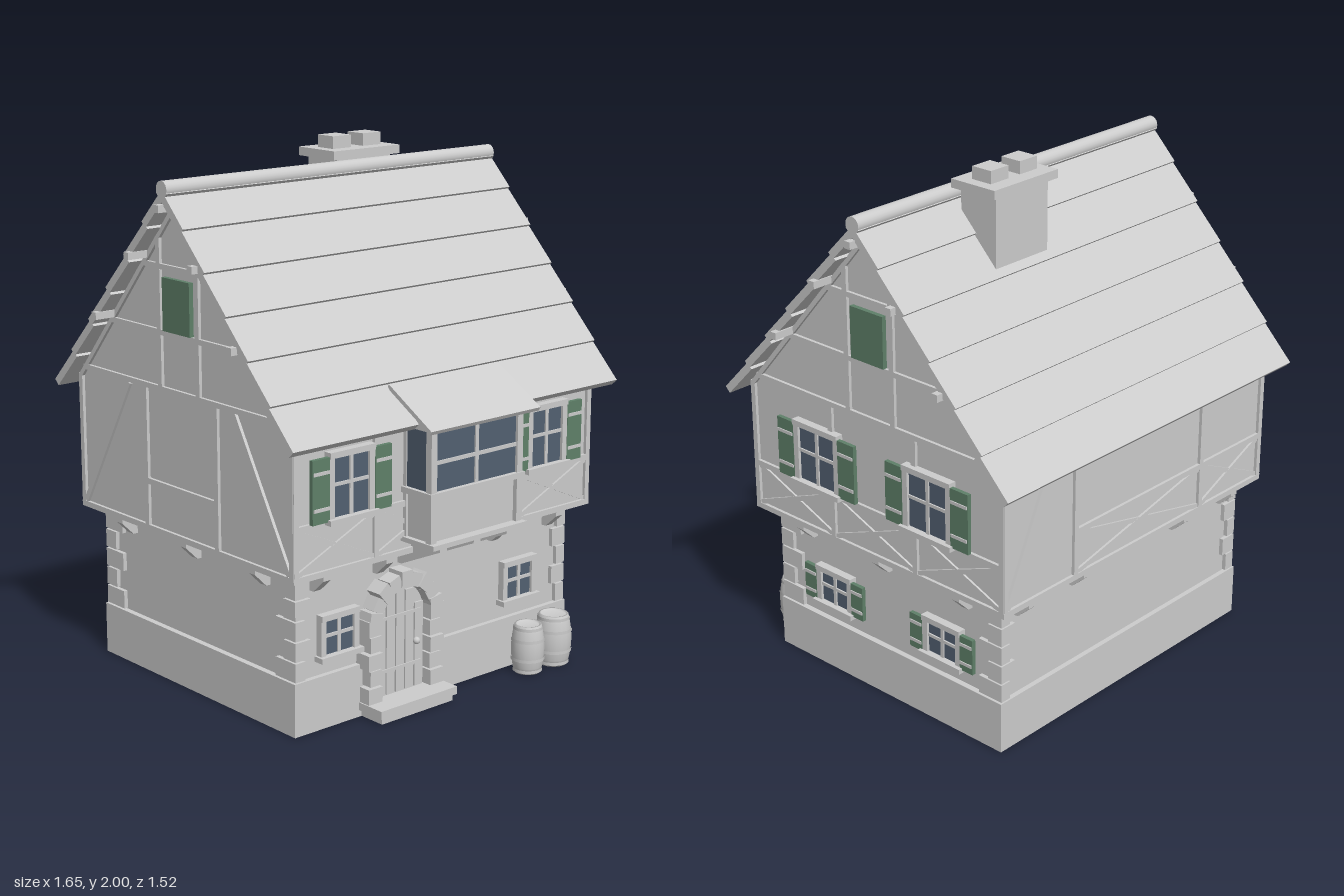
import * as THREE from 'three';

const make = (name, color) => Object.assign(new THREE.MeshStandardMaterial({ color }), { name });
const stone = make('pale grey', 0xcccccc);
const green = make('shutter green', 0x5f8069);
const glass = make('window glass', 0x526071);
const ZC = -0.055; // centre line of the house body

function mesh(parent, name, geo, mat = stone) {
  const m = new THREE.Mesh(geo, mat);
  m.name = name;
  parent.add(m);
  return m;
}
function box(parent, name, w, h, d, x, y, z, mat = stone) {
  const m = mesh(parent, name, new THREE.BoxGeometry(w, h, d), mat);
  m.position.set(x, y, z);
  return m;
}
// A wall group: local x runs along the wall, z points outwards
function wall(parent, name, x, z, turn) {
  const g = new THREE.Group();
  g.name = name;
  g.position.set(x, 0, z);
  g.rotation.y = turn;
  parent.add(g);
  return g;
}
// Timber between two points on a wall
function beam(g, x1, y1, x2, y2, w = 0.022, d = 0.024) {
  const m = box(g, 'timber', Math.hypot(x2 - x1, y2 - y1), w, d, (x1 + x2) / 2, (y1 + y2) / 2, 0);
  m.rotation.z = Math.atan2(y2 - y1, x2 - x1);
}
function cross(g, a, b) {
  beam(g, a, 0.62, b, 0.775, 0.018, 0.018);
  beam(g, a, 0.775, b, 0.62, 0.018, 0.016);
}
function corbel(g, x, top, reach, drop) {
  const s = new THREE.Shape([[0, -drop], [0.02, -drop], [reach, -0.02], [reach, 0], [0, 0]]
    .map(p => new THREE.Vector2(...p)));
  const geo = new THREE.ExtrudeGeometry(s, { depth: 0.035, bevelEnabled: false });
  geo.translate(0, 0, -0.0175).rotateY(-Math.PI / 2);
  mesh(g, 'corbel', geo).position.set(x, top, 0);
}
function windowUnit(g, x, y, w, h, shutter = 0) {
  const f = 0.024;
  box(g, 'windowPane', w, h, 0.008, x, y, 0.012, glass);
  for (const s of [-1, 1]) {
    box(g, 'windowJamb', f, h, 0.03, x + s * (w + f) / 2, y, 0.012);
    if (!shutter) continue;
    const sx = x + s * (w / 2 + f + shutter / 2);
    box(g, 'shutter', shutter, h + 0.015, 0.016, sx, y, 0.02, green);
    for (const k of [-1, 1]) box(g, 'shutterStrap', shutter * 0.9, 0.012, 0.006, sx, y + k * h * 0.3, 0.029);
  }
  box(g, 'lintel', w + 2 * f, 0.022, 0.036, x, y + h / 2 + 0.011, 0.014);
  box(g, 'sill', w + 2 * f + 0.02, 0.02, 0.05, x, y - h / 2 - 0.01, 0.018);
  box(g, 'mullion', 0.014, h, 0.012, x, y, 0.016);
  box(g, 'glazingBar', w, 0.012, 0.012, x, y + h * 0.05, 0.016);
}

export function createModel() {
  const house = new THREE.Group();
  house.name = 'timberHouse';

  // Masonry base and ground floor
  box(house, 'plinth', 1.376, 0.2, 1.15, 0, 0.1, ZC);
  box(house, 'groundFloor', 1.33, 0.41, 1.11, 0, 0.395, ZC);
  for (const sx of [-1, 1]) for (const sz of [-1, 1]) for (let i = 0; i < 5; i++) {
    const w = i % 2 ? 0.07 : 0.045, d = i % 2 ? 0.065 : 0.11;
    box(house, 'quoin', w, 0.07, d, sx * (0.681 - w / 2), 0.238 + i * 0.076, ZC + sz * (0.571 - d / 2));
  }

  // Upper floor with gables
  const prof = new THREE.Shape([[-0.625, 0.595], [0.625, 0.595], [0.625, 1.12], [0, 1.845], [-0.625, 1.12]]
    .map(p => new THREE.Vector2(...p)));
  const body = new THREE.ExtrudeGeometry(prof, { depth: 1.46, bevelEnabled: false });
  body.translate(0, 0, -0.73).rotateY(-Math.PI / 2);
  mesh(house, 'upperFloor', body).position.z = ZC;

  const H = Math.PI / 2;
  const up = {
    front: wall(house, 'frontTimbers', 0, 0.57, 0), back: wall(house, 'backTimbers', 0, -0.68, Math.PI),
    right: wall(house, 'gableTimbersA', 0.73, ZC, H), left: wall(house, 'gableTimbersB', -0.73, ZC, -H),
  };
  const low = {
    front: wall(house, 'frontGround', 0, 0.5, 0), back: wall(house, 'backGround', 0, -0.61, Math.PI),
    right: wall(house, 'sideGroundA', 0.665, ZC, H), left: wall(house, 'sideGroundB', -0.665, ZC, -H),
  };

  // Timber frame of the long walls
  for (const g of [up.front, up.back]) {
    beam(g, -0.74, 0.605, 0.74, 0.605);
    beam(g, -0.74, 1.1, 0.74, 1.1);
    for (const x of [-0.728, -0.36, 0.36, 0.728]) beam(g, x, 0.6, x, 1.11);
    cross(g, 0.37, 0.72);
  }
  beam(up.front, -0.73, 0.785, 0.73, 0.785);
  cross(up.front, -0.72, -0.37);
  cross(up.front, -0.35, 0);
  cross(up.front, 0, 0.35);
  beam(up.back, -0.36, 0.785, 0.73, 0.785);
  cross(up.back, -0.35, 0.35);
  beam(up.back, -0.72, 0.62, -0.5, 1.09);

  // Timber frame of the gable walls
  for (const g of [up.right, up.left]) {
    beam(g, -0.635, 0.605, 0.635, 0.605);
    for (const [y, r] of [[1.15, 0.6], [1.36, 0.41], [1.6, 0.2]]) beam(g, -r, y, r, y, 0.02);
    for (const x of [-0.623, -0.21, 0.21, 0.623]) beam(g, x, 0.6, x, Math.abs(x) > 0.5 ? 1.12 : 1.15);
    for (const s of [-1, 1]) {
      beam(g, s * 0.112, 1.15, s * 0.112, 1.71);
      beam(g, s * 0.62, 1.115, 0, 1.833, 0.018);
    }
    box(g, 'atticShutter', 0.16, 0.195, 0.02, 0.0, 1.467, 0.008, green);
    // Purlin ends
    for (const [u, y] of [[0, 1.825], [0.187, 1.635], [-0.187, 1.635], [0.4, 1.385], [-0.4, 1.385]])
      box(g, 'purlin', 0.027, 0.027, 0.12, u, y, 0.035);
  }
  beam(up.right, -0.62, 0.785, 0.62, 0.785);
  for (const [a, b] of [[-0.61, -0.22], [-0.2, 0.2], [0.22, 0.61]]) cross(up.right, a, b);
  beam(up.left, -0.21, 0.785, 0.21, 0.785);
  for (const s of [-1, 1]) beam(up.left, s * 0.61, 0.62, s * 0.31, 1.14);

  // Windows
  for (const s of [-1, 1]) windowUnit(up.front, s * 0.487, 0.91, 0.16, 0.215, 0.078);
  for (const u of [-0.275, 0.285]) {
    windowUnit(up.right, u, 0.912, 0.185, 0.215, 0.084);
    windowUnit(low.right, u + 0.0, 0.338, 0.14, 0.125, 0.062);
  }
  windowUnit(low.front, -0.482, 0.34, 0.13, 0.13);
  windowUnit(low.front, 0.425, 0.34, 0.13, 0.13);

  // Corbels under the jetty
  for (const g of [low.front, low.back]) for (const x of [-0.585, -0.29, 0.29, 0.585]) corbel(g, x, 0.595, 0.075, 0.07);
  for (const g of [low.right, low.left]) for (const x of [-0.4, 0, 0.4]) corbel(g, x, 0.595, 0.07, 0.07);

  // Roof courses, each lapping the one below
  const run = 0.705, rise = 0.81, a = Math.atan2(rise, run), len = Math.hypot(run, rise) / 6;
  for (const s of [-1, 1]) for (let i = 0; i < 6; i++) {
    const t = (i + 0.5) * len, n = -0.018;
    const m = box(house, 'roofCourse', 1.6, 0.03, len + 0.008, 0,
      1.9 - t * Math.sin(a) + n * Math.cos(a), ZC + s * (t * Math.cos(a) + n * Math.sin(a)));
    m.rotation.x = s * (a - 0.06);
  }
  const ridge = mesh(house, 'ridgeRoll', new THREE.CylinderGeometry(0.031, 0.031, 1.6, 20));
  ridge.rotation.z = H;
  ridge.position.set(0, 1.89, ZC);

  // Chimney
  box(house, 'chimneyStack', 0.27, 0.4, 0.165, 0.185, 1.73, -0.1875);
  box(house, 'chimneyCap', 0.33, 0.033, 0.205, 0.185, 1.936, -0.188);
  for (const x of [0.11, 0.26]) box(house, 'chimneyPot', 0.09, 0.05, 0.088, x, 1.975, -0.188);

  // Bay window
  const bay = new THREE.Group();
  bay.name = 'bayWindow';
  house.add(bay);
  box(bay, 'bayBody', 0.43, 0.45, 0.14, 0, 0.875, 0.63);
  box(bay, 'bayFloor', 0.47, 0.018, 0.18, 0, 0.655, 0.65);
  box(bay, 'baySill', 0.47, 0.022, 0.165, 0, 0.838, 0.641);
  box(bay, 'bayHead', 0.46, 0.03, 0.16, 0, 1.085, 0.64);
  box(bay, 'bayPane', 0.4, 0.22, 0.008, 0, 0.96, 0.703, glass);
  box(bay, 'bayMullion', 0.016, 0.22, 0.016, 0, 0.96, 0.705);
  box(bay, 'bayTransom', 0.4, 0.014, 0.014, 0, 0.955, 0.705);
  for (const s of [-1, 1]) {
    box(bay, 'bayPost', 0.028, 0.44, 0.028, s * 0.214, 0.875, 0.704);
    box(bay, 'baySidePane', 0.008, 0.22, 0.11, s * 0.217, 0.96, 0.636, glass);
    box(bay, 'bayWallPost', 0.022, 0.44, 0.016, s * 0.214, 0.875, 0.578);
  }
  const bayRoof = box(bay, 'bayRoof', 0.54, 0.016, 0.255, 0, 1.148, 0.647);
  bayRoof.rotation.x = Math.atan2(0.13, 0.22);
  for (const x of [-0.168, 0, 0.168]) corbel(low.front, x, 0.647, 0.22, 0.11);

  // Arched door with stone surround
  const door = new THREE.Group();
  door.name = 'door';
  door.position.set(-0.2, 0, 0.5);
  house.add(door);
  const R = 0.118, spring = 0.345;
  const leaf = new THREE.Shape();
  leaf.moveTo(-R, 0.05).lineTo(R, 0.05).lineTo(R, spring).absarc(0, spring, R, 0, Math.PI).lineTo(-R, 0.05);
  mesh(door, 'doorLeaf', new THREE.ExtrudeGeometry(leaf, { depth: 0.025, bevelEnabled: false, curveSegments: 16 }));
  for (let i = -2; i <= 2; i++) {
    const x = i * 0.046, top = spring + Math.sqrt(R * R - (Math.abs(x) + 0.02) ** 2) - 0.004;
    box(door, 'doorPlank', 0.04, top - 0.05, 0.012, x, (top + 0.05) / 2, 0.027);
  }
  for (const y of [0.15, 0.35]) box(door, 'doorStrap', 0.2, 0.012, 0.006, 0, y, 0.034);
  mesh(door, 'doorKnob', new THREE.SphereGeometry(0.014, 12, 8)).position.set(0.072, 0.235, 0.043);
  for (const s of [-1, 1]) for (let i = 0; i < 5; i++) {
    const w = i % 2 ? 0.054 : 0.066;
    box(door, 'jambStone', w, 0.058, i % 2 ? 0.06 : 0.07, s * (R + w / 2), 0.085 + i * 0.064, 0.035);
  }
  for (let i = 0; i < 9; i++) {
    const t = (i + 0.5) * Math.PI / 9, r = R + (i % 2 ? 0.026 : 0.032);
    const v = box(door, 'archStone', i % 2 ? 0.052 : 0.06, 0.052, i % 2 ? 0.06 : 0.07,
      r * Math.cos(t), spring + r * Math.sin(t), 0.035);
    v.rotation.z = t;
  }
  box(door, 'doorStep', 0.375, 0.03, 0.14, 0, 0.04, 0.07);
  box(door, 'lowerStep', 0.35, 0.025, 0.12, 0, 0.0125, 0.07);

  // Barrels
  for (const [x, r, h] of [[0.4, 0.064, 0.19], [0.54, 0.071, 0.2]]) {
    const g = new THREE.Group();
    g.name = 'barrel';
    g.position.set(x, 0, 0.6);
    house.add(g);
    const radius = t => r * (1 - 0.2 * (2 * t - 1) ** 2);
    const pts = [[0, 0]];
    for (let i = 0; i <= 8; i++) pts.push([radius(i / 8), h * i / 8]);
    pts.push([radius(1) - 0.007, h], [radius(1) - 0.007, h - 0.008], [0, h - 0.008]);
    mesh(g, 'barrelStaves', new THREE.LatheGeometry(pts.map(p => new THREE.Vector2(...p)), 20));
    for (const t of [0.06, 0.3, 0.7, 0.94]) {
      const hoop = mesh(g, 'barrelHoop', new THREE.CylinderGeometry(radius(t) + 0.003, radius(t) + 0.003, 0.012, 20));
      hoop.geometry = new THREE.CylinderGeometry(radius(t) + 0.003, radius(t) + 0.003, 0.012, 20, 1, true);
      hoop.position.y = h * t;
    }
  }
  return house;
}
